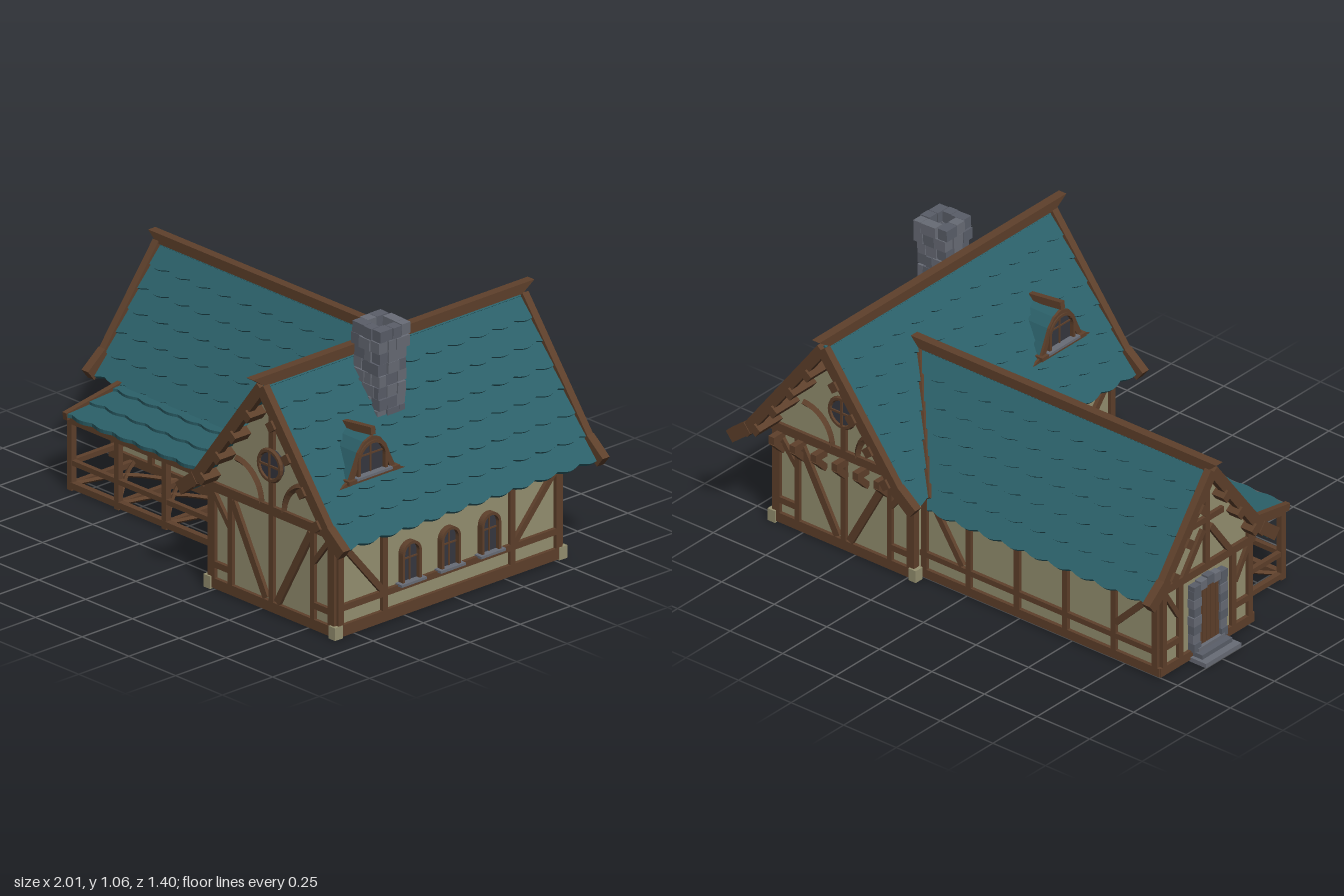
import * as THREE from 'three';

const mat = (color) => new THREE.MeshStandardMaterial({ color, flatShading: true, side: THREE.DoubleSide });
const WOOD = mat(0x5e402b), TILE = mat(0x2b6069), WALL = mat(0x959070), STONE = mat(0x686c76), STONE2 = mat(0x5a5e69), GLASS = mat(0x36373f);
const V = (x, y, z) => new THREE.Vector3(x, y, z);
let seed = 7;
const rnd = () => (seed = (seed * 16807) % 2147483647) / 2147483647;

function add(parent, name, geo, material, x = 0, y = 0, z = 0) {
  const m = new THREE.Mesh(geo, material);
  m.name = name;
  m.position.set(x, y, z);
  parent.add(m);
  return m;
}
const box = (p, name, w, h, d, x, y, z, m = WOOD) => add(p, name, new THREE.BoxGeometry(w, h, d), m, x, y, z);
const extrude = (shape, depth) => new THREE.ExtrudeGeometry(shape, { depth, bevelEnabled: false, curveSegments: 10 });
const poly = (pts) => new THREE.Shape(pts.map(([x, y]) => new THREE.Vector2(x, y)));

// Square timber from a to b
function beam(p, name, a, b, w = 0.025, d = w) {
  const dir = b.clone().sub(a), mid = a.clone().add(b).multiplyScalar(0.5);
  const m = box(p, name, w, dir.length(), d, mid.x, mid.y, mid.z);
  m.quaternion.setFromUnitVectors(V(0, 1, 0), dir.normalize());
}
// Group standing on a wall plane: local x along the wall, z outward
function face(parent, name, x, z, rotY) {
  const g = new THREE.Group();
  g.name = name;
  g.position.set(x, 0, z);
  g.rotation.y = rotY;
  parent.add(g);
  return g;
}
// Timbers on a wall, each [x1, y1, x2, y2, width]
function timbers(g, list, mirror = false) {
  for (const s of mirror ? [1, -1] : [1])
    for (const [x1, y1, x2, y2, w = 0.025] of list) beam(g, 'wallTimber', V(s * x1, y1, 0), V(s * x2, y2, 0), w, 0.03);
}

// Roof slope in overlapping courses with scalloped lower edges
function slope(parent, name, eave, out, run, rise, rows, lo, hi) {
  const L = Math.hypot(run, rise), c = run / L, s = rise / L;
  const v = out.clone().multiplyScalar(-c).setY(s), n = out.clone().multiplyScalar(s).setY(c);
  const g = new THREE.Group();
  g.name = name;
  g.quaternion.setFromRotationMatrix(new THREE.Matrix4().makeBasis(v.clone().cross(n), v, n));
  g.position.copy(eave);
  parent.add(g);
  const step = L / rows, p = 0.11;
  for (let r = 0; r < rows; r++) {
    const t0 = r / rows, t1 = Math.min(1, (r + 1.2) / rows), a = lo(t0), b = hi(t0), pts = [];
    const N = Math.ceil((b - a) / p * 6);
    for (let i = 0; i <= N; i++) {
      const x = a + (b - a) * i / N;
      pts.push([x, -0.014 * Math.abs(Math.sin(Math.PI * (x / p + r / 2)))]);
    }
    pts.push([hi(t1), (t1 - t0) * L], [lo(t1), (t1 - t0) * L]);
    add(g, 'tileCourse', extrude(poly(pts), 0.015), TILE, 0, r * step, -0.006).rotation.x = -0.1;
  }
}

// Ridge log with flared ends, along local x
function ridge(parent, a, b, y, flareA, flareB) {
  const s = poly([[a + flareA, y - 0.02], [b - flareB, y - 0.02], [b, y + 0.02], [a, y + 0.02]]);
  return add(parent, 'ridgeBeam', extrude(s, 0.036), WOOD, 0, 0, -0.018);
}

// Barge boards with kicked ends plus purlin ends
function verge(g, apex, half, n) {
  for (const s of [1, -1]) {
    const k = half - 0.035;
    beam(g, 'bargeBoard', V(0, apex, 0), V(s * k, apex - 1.32 * k, 0), 0.045, 0.03);
    beam(g, 'bargeBoardFoot', V(s * (k - 0.02), apex - 1.32 * (k - 0.02), 0), V(s * (half + 0.03), apex - 1.32 * half + 0.005, 0), 0.05, 0.035);
    for (let i = 1; i <= n; i++) {
      const x = half * i / (n + 1) + 0.005;
      box(g, 'purlinEnd', 0.036, 0.036, 0.13, s * (x - 0.022), apex - 1.32 * x - 0.018, -0.04).rotation.z = -s * 0.92;
    }
  }
}

// Arched opening outline
function arch(S, w, h) {
  const s = new S();
  s.moveTo(-w, 0);
  s.lineTo(w, 0);
  s.lineTo(w, h - w);
  s.absarc(0, h - w, w, 0, Math.PI, false);
  s.lineTo(-w, 0);
  return s;
}
function archWindow(parent, x, y, w, h, z = 0) {
  const g = new THREE.Group();
  g.name = 'archedWindow';
  g.position.set(x, y, z);
  parent.add(g);
  const f = arch(THREE.Shape, w, h);
  f.holes.push(arch(THREE.Path, w - 0.011, h - 0.011));
  add(g, 'windowFrame', extrude(f, 0.025), WOOD);
  add(g, 'windowPane', extrude(arch(THREE.Shape, w - 0.005, h - 0.005), 0.008), GLASS);
  box(g, 'mullion', 0.006, h, 0.012, 0, h / 2, 0.006);
  box(g, 'glazingBar', w * 2, 0.006, 0.012, 0, h * 0.58, 0.006);
  box(g, 'windowSill', w * 2 + 0.03, 0.01, 0.04, 0, 0, 0.015, STONE);
}
function roundWindow(g, y, r) {
  add(g, 'roundWindowFrame', new THREE.TorusGeometry(r, 0.01, 6, 20), WOOD, 0, y, 0.018);
  add(g, 'roundWindowPane', new THREE.CylinderGeometry(r, r, 0.04, 20), GLASS, 0, y, 0).rotation.x = Math.PI / 2;
  box(g, 'windowBar', 2 * r, 0.008, 0.012, 0, y, 0.02);
  box(g, 'windowBar', 0.008, 2 * r, 0.012, 0, y, 0.02);
}
// Gable-ended body: pentagon cross-section
const house = (half, eave, apex) => poly([[-half, 0.01], [half, 0.01], [half, eave], [0, apex], [-half, eave]]);

function buildMain(root) {
  const cx = 0.555;
  add(root, 'mainWalls', extrude(house(0.335, 0.44, 0.88), 1.11), WALL, cx, 0, -0.53);
  for (const s of [1, -1])
    slope(root, 'mainRoof', V(cx + s * 0.405, 0.38, -0.01), V(s, 0, 0), 0.405, 0.535, 7, () => -0.64, () => 0.64);
  ridge(face(root, 'mainRidge', cx, 0, Math.PI / 2), -0.7, 0.7, 0.935, 0.06, 0.06);
  // Gable ends
  for (const s of [1, -1]) {
    const rot = s > 0 ? 0 : Math.PI, g = face(root, 'gableFraming', cx, s > 0 ? 0.58 : -0.53, rot);
    timbers(g, [[0, 0.025, 0.35, 0.025, 0.04], [0.32, 0.01, 0.32, 0.4, 0.035], [0.22, 0.04, 0.22, 0.39, 0.022], [0, 0.405, 0.355, 0.405, 0.036],
      [0.22, 0.1, 0.32, 0.1], [0.21, 0.38, 0.03, 0.05, 0.03], [0.31, 0.38, 0.225, 0.27, 0.02]], true);
    timbers(g, [[0, 0.04, 0, 0.52, 0.024], [0, 0.645, 0, 0.88, 0.024]]);
    roundWindow(g, 0.585, 0.058);
    for (const m of [1, -1]) {
      const arc = add(g, 'curvedBrace', new THREE.TorusGeometry(0.135, 0.014, 4, 10, Math.PI / 2), WOOD, m * 0.195, 0.415, 0.004);
      if (m > 0) arc.rotation.y = Math.PI;
      box(g, 'cornerBlock', 0.035, 0.05, 0.04, m * 0.335, 0.025, 0.003, WALL);
    }
    if (s < 0) for (let i = -3; i <= 3; i++) {
      beam(g, 'jettyBracket', V(i * 0.1, 0.31, 0), V(i * 0.1, 0.365, 0.055), 0.026);
      box(g, 'joistEnd', 0.026, 0.03, 0.07, i * 0.1, 0.375, 0.03);
    }
    verge(face(root, 'mainVerge', cx, s > 0 ? 0.635 : -0.655, rot), 0.905, 0.405, 4);
  }
  // Side walls; local x = -z on the window side
  const side = face(root, 'windowWall', 0.89, 0, Math.PI / 2);
  timbers(side, [[-0.595, 0.027, 0.55, 0.027, 0.045], [-0.57, 0.03, -0.57, 0.42], [-0.35, 0.04, -0.35, 0.42], [0.285, 0.04, 0.285, 0.42],
    [0.515, 0.03, 0.515, 0.42, 0.03], [-0.57, 0.117, 0.515, 0.117], [-0.555, 0.36, -0.36, 0.13], [0.295, 0.13, 0.5, 0.36]]);
  for (const x of [-0.225, -0.03, 0.17]) archWindow(side, x, 0.13, 0.047, 0.16);
  const inner = face(root, 'courtWall', 0.22, 0, -Math.PI / 2);
  timbers(inner, [[0.02, 0.027, 0.595, 0.027, 0.045], [0.57, 0.03, 0.57, 0.42], [0.35, 0.04, 0.35, 0.42], [0.03, 0.117, 0.57, 0.117], [0.555, 0.36, 0.36, 0.13]]);
  archWindow(inner, 0.225, 0.13, 0.047, 0.16);
  // Dormers with bell-shaped roofs
  for (const s of [1, -1]) {
    const g = face(root, 'dormer', cx + s * 0.265, 0.355, s * Math.PI / 2);
    const bell = [[0.165, 0.55], [0.115, 0.572], [0.092, 0.62], [0.07, 0.67], [0.04, 0.705], [0, 0.72]];
    const outer = [...bell, ...bell.slice(0, -1).reverse().map(([x, y]) => [-x, y])];
    const inside = outer.map(([x, y]) => [x * 0.88, y - 0.012]).reverse();
    add(g, 'dormerRoof', extrude(poly([...outer, ...inside]), 0.2), TILE, 0, 0, -0.19);
    add(g, 'dormerTrim', extrude(poly([...outer, ...outer.map(([x, y]) => [x * 0.83, y - 0.017]).reverse()]), 0.012), WOOD, 0, 0, 0.008);
    add(g, 'dormerFace', extrude(poly(inside), 0.15), WALL, 0, 0, -0.15);
    archWindow(g, 0, 0.573, 0.073, 0.13);
    box(g, 'dormerSill', 0.25, 0.016, 0.045, 0, 0.567, 0.01);
    beam(g, 'dormerRidge', V(0, 0.722, -0.14), V(0, 0.742, 0.025), 0.022, 0.03);
  }
}

function buildWing(root) {
  const cz = -0.24;
  const walls = add(root, 'wingWalls', extrude(house(0.255, 0.4, 0.74), 1.14), WALL, -0.91, 0, cz);
  walls.rotation.y = Math.PI / 2;
  const end = (t) => 0.13 + 0.31 * t;
  slope(root, 'wingRoofFront', V(0, 0.345, cz + 0.325), V(0, 0, 1), 0.325, 0.43, 6, () => -0.93, end);
  slope(root, 'wingRoofBack', V(0, 0.345, cz - 0.325), V(0, 0, -1), 0.325, 0.43, 6, (t) => -end(t), () => 0.93);
  ridge(face(root, 'wingRidge', 0, cz, 0), -0.98, 0.48, 0.792, 0.045, 0);
  for (const s of [1, -1]) beam(root, 'valleyBeam', V(0.45, 0.775, cz), V(0.145, 0.375, cz + s * 0.305), 0.024);
  // Long walls
  const back = face(root, 'wingBackWall', 0, cz - 0.255, Math.PI), front = face(root, 'wingFrontWall', 0, cz + 0.255, 0);
  for (const [g, m] of [[back, -1], [front, 1]]) {
    timbers(g, [[-0.92 * m, 0.025, 0.22 * m, 0.025, 0.036], [-0.91 * m, 0.105, 0.22 * m, 0.105, 0.022], [-0.91 * m, 0.35, 0.22 * m, 0.35, 0.03],
      [-0.88 * m, 0.33, -0.71 * m, 0.16], [0.16 * m, 0.33, 0.02 * m, 0.12]]);
    for (const x of [-0.897, -0.7, -0.47, -0.24, -0.01, 0.2]) timbers(g, [[x * m, 0.02, x * m, 0.4]]);
  }
  // Entrance gable
  const g = face(root, 'entranceGable', -0.91, cz, -Math.PI / 2);
  timbers(g, [[0, 0.025, 0.265, 0.025, 0.036], [0.243, 0.02, 0.243, 0.4], [0, 0.36, 0.27, 0.36, 0.032], [0.15, 0.03, 0.15, 0.35], [0.15, 0.12, 0.243, 0.12],
    [0.235, 0.34, 0.16, 0.22, 0.02], [0.13, 0.37, 0.02, 0.52], [0.09, 0.56, 0, 0.56]], true);
  timbers(g, [[0, 0.36, 0, 0.72]]);
  verge(face(root, 'wingVerge', -0.94, cz, -Math.PI / 2), 0.77, 0.325, 3);
  box(g, 'door', 0.12, 0.26, 0.02, 0, 0.17, 0.004);
  for (let i = -2; i <= 2; i++) box(g, 'doorPlank', 0.02, 0.24, 0.008, i * 0.023, 0.17, 0.016);
  for (const s of [1, -1]) for (let i = 0; i < 7; i++)
    box(g, 'doorStone', 0.034 + rnd() * 0.012, 0.036, 0.035 + rnd() * 0.015, s * 0.075, 0.055 + i * 0.037, 0.008, i % 2 ? STONE : STONE2);
  for (let i = -2; i <= 2; i++) box(g, 'lintelStone', 0.037, 0.036, 0.045, i * 0.038, 0.31 - Math.abs(i) * 0.007, 0.008, i % 2 ? STONE : STONE2);
  box(g, 'lowerStep', 0.2, 0.018, 0.09, 0, 0.009, 0.045, STONE);
  box(g, 'middleStep', 0.17, 0.018, 0.06, 0, 0.027, 0.03, STONE2);
  box(g, 'upperStep', 0.15, 0.014, 0.035, 0, 0.043, 0.017, STONE);
}

function buildPorch(root) {
  const g = new THREE.Group(), z = 0.33, zw = 0.02, xs = [-0.795, -0.545, -0.29, -0.04, 0.205];
  g.name = 'porch';
  root.add(g);
  slope(g, 'porchRoof', V(0, 0.298, 0.35), V(0, 0, 1), 0.34, 0.055, 3, () => -0.79, () => 0.22);
  for (const [y, w] of [[0.02, 0.025], [0.11, 0.02], [0.28, 0.03]]) beam(g, 'porchRail', V(-0.8, y, z), V(0.22, y, z), w);
  xs.forEach((x, i) => {
    beam(g, 'porchPost', V(x, 0, z), V(x, 0.29, z), 0.024);
    beam(g, 'porchRafter', V(x, 0.335, zw), V(x, 0.28, z + 0.01), 0.022);
    beam(g, 'porchFloorBeam', V(x, 0.018, zw), V(x, 0.018, z), 0.022);
    if (!i) beam(g, 'porchSideRail', V(x, 0.11, zw), V(x, 0.11, z), 0.02);
    if (i < 4) for (const s of [0, 1]) {
      const a = V(x, 0.02, s ? z : zw), b = V(xs[i + 1], 0.02, s ? zw : z), mid = a.clone().lerp(b, 0.5).setY(0.05);
      add(g, 'floorBrace', new THREE.TubeGeometry(new THREE.CatmullRomCurve3([a, mid, b]), 8, 0.009, 4), WOOD);
    }
  });
  beam(g, 'porchVerge', V(-0.8, 0.35, 0.03), V(-0.8, 0.295, 0.36), 0.022, 0.03);
}

// Leaning hollow stack of pinwheel stone courses
function buildChimney(root) {
  const g = new THREE.Group(), rows = 9, h = 0.046;
  g.name = 'chimney';
  g.position.set(0.648, 0.645, 0.145);
  g.rotation.z = -0.03;
  root.add(g);
  for (let r = 0; r < rows; r++) {
    const R = 0.066 + (r > rows - 3 ? 0.008 : 0), flip = r % 2 ? 1 : -1;
    for (let k = 0; k < 4; k++) {
      const f = face(g, 'stoneCourse', 0, 0, k * Math.PI / 2), split = (rnd() - 0.5) * 0.04, a = -R + (flip > 0 ? 0.042 : 0), b = R - (flip > 0 ? 0 : 0.042);
      const m = (a + b) / 2 + split;
      for (const [p, q] of [[a, m], [m, b]])
        box(f, 'chimneyStone', q - p - 0.002, h - 0.002, 0.042, (p + q) / 2, (r + 0.5) * h, R - 0.021 + rnd() * 0.007, rnd() > 0.5 ? STONE : STONE2);
    }
  }
  box(g, 'flueCore', 0.09, rows * h - 0.05, 0.09, 0, rows * h / 2 - 0.025, 0, STONE2);
}

export function createModel() {
  const root = new THREE.Group();
  root.name = 'timberHouse';
  buildMain(root);
  buildWing(root);
  buildPorch(root);
  buildChimney(root);
  return root;
}
